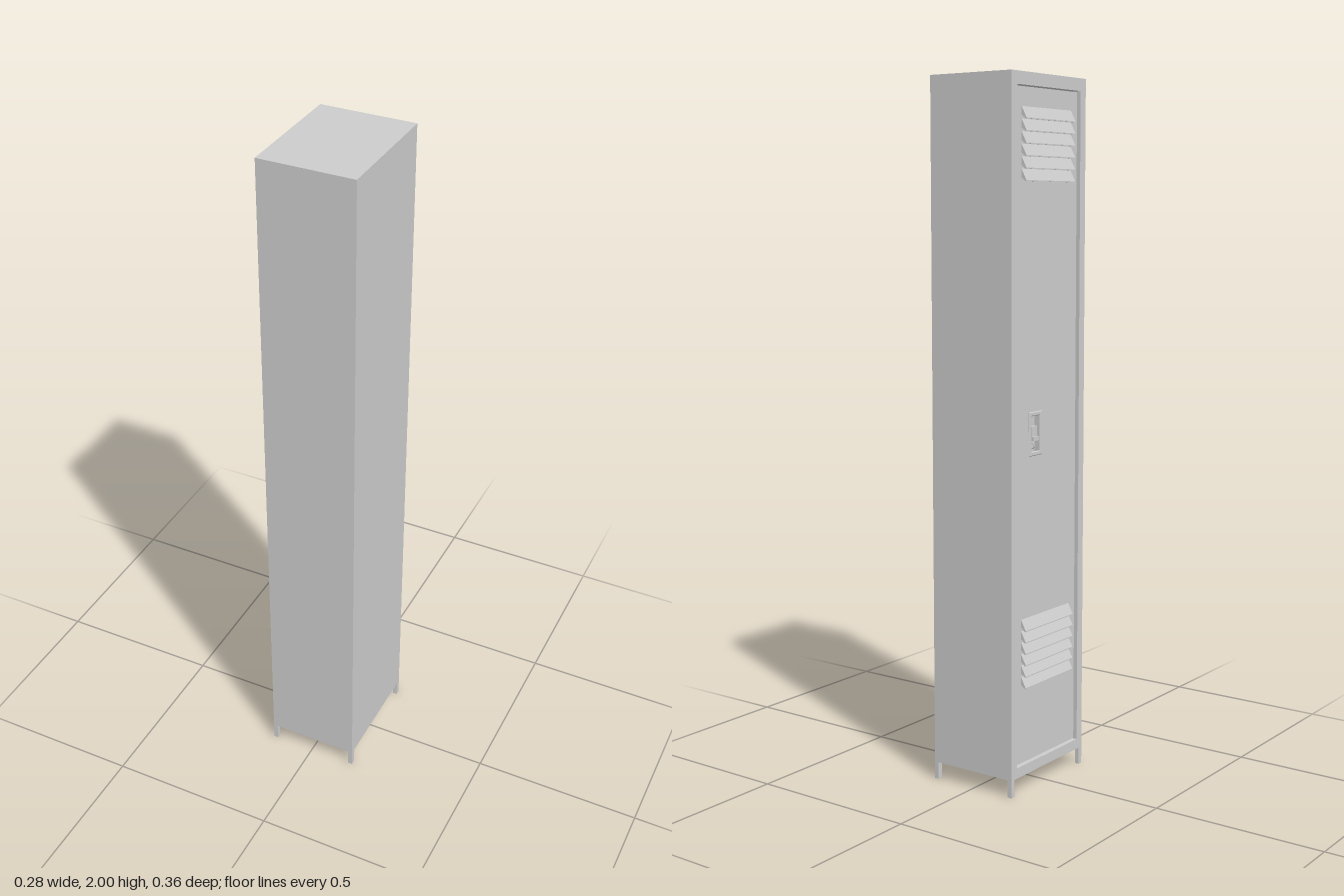
import * as THREE from 'three';

const material = new THREE.MeshStandardMaterial({ color: 0xcccccc });

function add(parent, name, geometry, x = 0, y = 0, z = 0) {
  const mesh = new THREE.Mesh(geometry, material);
  mesh.name = name;
  mesh.position.set(x, y, z);
  parent.add(mesh);
  return mesh;
}

// Rectangle corners in the door plane (z across, y up)
function rect(z0, z1, y0, y1) {
  return [[z0, y0], [z1, y0], [z1, y1], [z0, y1]].map(([z, y]) => new THREE.Vector2(z, y));
}

// Flat panel with one rectangular opening, from xInner outward toward -x
function panel(outer, hole, xInner, depth, bevel = 0) {
  const shape = new THREE.Shape(rect(...outer));
  shape.holes.push(new THREE.Path(rect(...hole)));
  const geometry = new THREE.ExtrudeGeometry(shape, {
    depth, bevelEnabled: bevel > 0, bevelSize: bevel, bevelThickness: bevel, bevelSegments: 1,
  });
  geometry.rotateY(-Math.PI / 2);
  geometry.translate(xInner, 0, 0);
  return geometry;
}

export function createModel() {
  const group = new THREE.Group();
  const base = 0.05, top = 2, back = 0.14, face = -0.134, halfDepth = 0.178;
  const inner = -0.104, doorFace = -0.124;

  // Cabinet shell and the raised frame around the door
  add(group, 'cabinet', new THREE.BoxGeometry(back - inner, top - base, halfDepth * 2),
    (back + inner) / 2, (top + base) / 2, 0);
  add(group, 'doorFrame', panel([-halfDepth, halfDepth, base, top],
    [-0.152, 0.152, 0.08, 1.965], inner, inner - face));

  // Inset door with an opening for the latch cup
  const door = new THREE.Group();
  door.name = 'door';
  group.add(door);
  add(door, 'doorPanel', panel([-0.149, 0.149, 0.083, 1.962],
    [-0.077, -0.027, 0.965, 1.075], inner, inner - doorFace));

  // Two banks of sloping louvres
  const pitch = 0.033, vent = 0.118;
  const profile = new THREE.Shape([
    [doorFace, pitch], [-0.14, 0.003], [-0.14, 0], [-0.137, 0], [doorFace, 0.01],
  ].map(([x, y]) => new THREE.Vector2(x, y)));
  const louvre = new THREE.ExtrudeGeometry(profile, { depth: vent * 2, bevelEnabled: false });
  for (const [name, y0] of [['upperLouvre', 1.712], ['lowerLouvre', 0.303]]) {
    for (let i = 0; i < 6; i++) add(door, name, louvre, 0, y0 + i * pitch, -vent);
  }

  // Recessed latch: bezel, lift handle and padlock eye
  const latch = new THREE.Group();
  latch.name = 'latch';
  door.add(latch);
  add(latch, 'latchBezel', panel([-0.082, -0.022, 0.96, 1.08],
    [-0.074, -0.03, 0.968, 1.072], -0.122, 0.003, 0.002));
  add(latch, 'latchHandle', new THREE.BoxGeometry(0.018, 0.04, 0.026), -0.113, 1.02, -0.052);
  add(latch, 'latchLip', new THREE.BoxGeometry(0.006, 0.012, 0.026), -0.125, 1.006, -0.052);
  add(latch, 'padlockEye', new THREE.TorusGeometry(0.008, 0.002, 8, 20), -0.113, 0.985, -0.052);

  // Four short square legs
  const legX = 0.013, legZ = 0.015;
  const leg = new THREE.BoxGeometry(legX, base, legZ);
  for (const x of [face + legX / 2, back - legX / 2]) {
    for (const side of [-1, 1]) add(group, 'leg', leg, x, base / 2, side * (halfDepth - legZ / 2));
  }
  return group;
}
